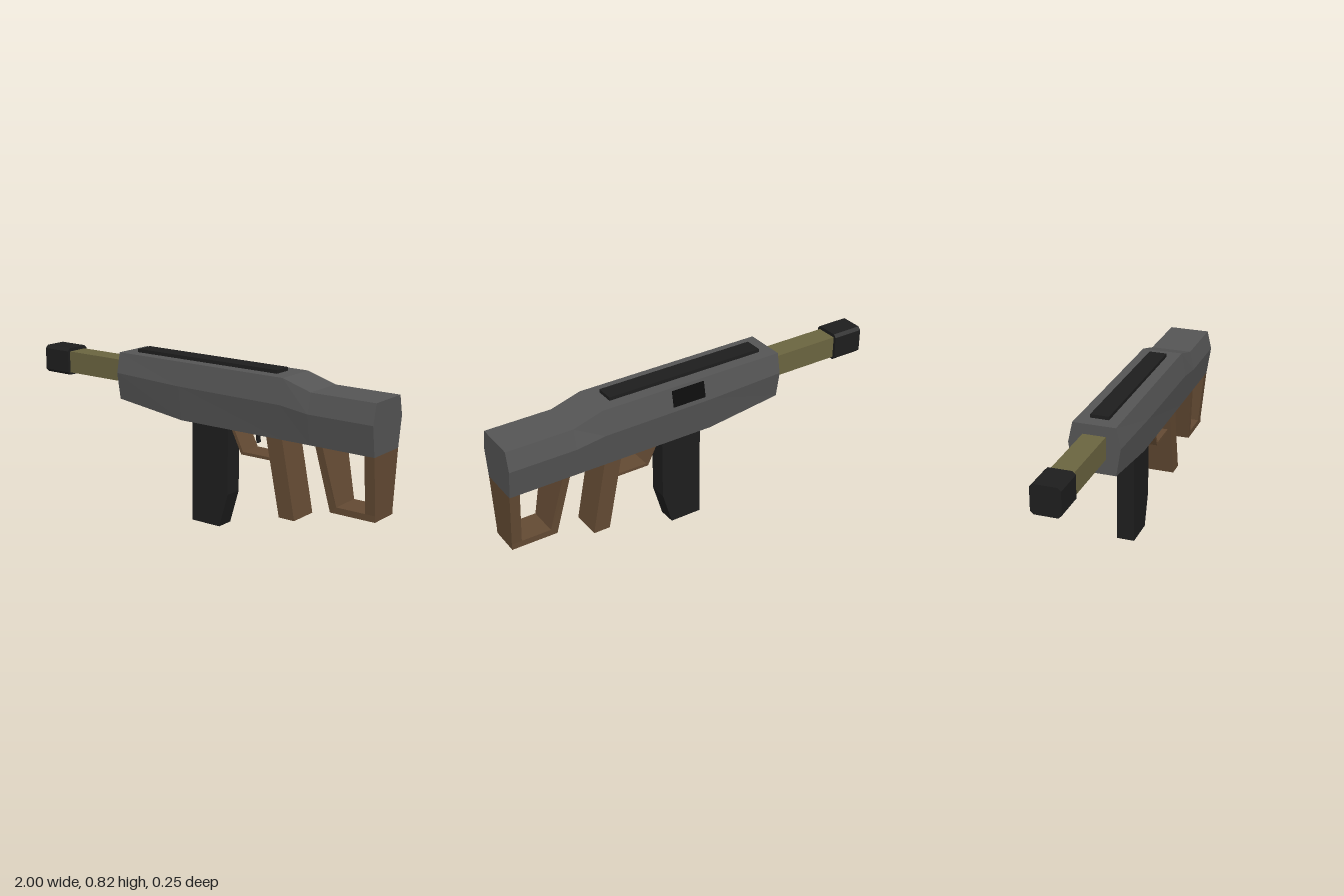
import * as THREE from 'three';

const mat = (color) => new THREE.MeshStandardMaterial({ color, flatShading: true });

export function createModel() {
  const model = new THREE.Group();
  const grey = mat(0x555555), black = mat(0x1e1e1e), brown = mat(0x634a33), olive = mat(0x6b6540);
  const port = mat(0x0a0a0a);

  const add = (name, geometry, material) => {
    const mesh = new THREE.Mesh(geometry, material);
    mesh.name = name;
    model.add(mesh);
    return mesh;
  };

  // Side outline in x/y, extruded symmetrically about z = 0
  const prism = (points, half) => {
    const shape = new THREE.Shape(points.map(([x, y]) => new THREE.Vector2(x, y)));
    return new THREE.ExtrudeGeometry(shape, { depth: half * 2, bevelEnabled: false }).translate(0, 0, -half);
  };

  const box = (x0, x1, y0, y1, half) =>
    new THREE.BoxGeometry(x1 - x0, y1 - y0, half * 2).translate((x0 + x1) / 2, (y0 + y1) / 2, 0);

  // Body: six-sided sections lofted along x
  const stations = [ // x, top, middle, bottom
    [-0.45, 0.8, 0.7, 0.565],
    [-0.06, 0.8, 0.685, 0.515],
    [0.52, 0.8, 0.68, 0.515],
    [0.67, 0.755, 0.66, 0.515],
    [1, 0.755, 0.66, 0.515],
  ];
  const pos = [], idx = [];
  for (const [x, t, m, b] of stations) {
    pos.push(x, t, 0.103, x, m, 0.125, x, b, 0.103, x, b, -0.103, x, m, -0.125, x, t, -0.103);
  }
  for (let s = 0; s < stations.length - 1; s++) {
    for (let i = 0; i < 6; i++) {
      const a = s * 6 + i, c = s * 6 + (i + 1) % 6;
      idx.push(a, c, c + 6, a, c + 6, a + 6);
    }
  }
  const last = (stations.length - 1) * 6;
  for (let i = 1; i < 5; i++) {
    idx.push(0, i + 1, i, last, last + i, last + i + 1);
  }
  const indexed = new THREE.BufferGeometry();
  indexed.setAttribute('position', new THREE.Float32BufferAttribute(pos, 3));
  indexed.setIndex(idx);
  const bodyGeometry = indexed.toNonIndexed();
  bodyGeometry.computeVertexNormals();
  add('body', bodyGeometry, grey);

  // Rail on top and side port lying on the upper back slope
  add('topRail', box(-0.38, 0.45, 0.79, 0.817, 0.045), black);
  const sidePort = add('sidePort', new THREE.BoxGeometry(0.175, 0.08, 0.01), port);
  sidePort.position.set(0.07, 0.745, -0.112);
  sidePort.rotation.x = 0.19;

  // Barrel and chamfered muzzle
  add('barrel', box(-0.86, -0.44, 0.64, 0.75, 0.055), olive);
  const h = 0.07, k = 0.055;
  const octagon = [[k, -h], [h, -k], [h, k], [k, h], [-k, h], [-h, k], [-h, -k], [-k, -h]];
  add('muzzle', prism(octagon, 0.08).rotateY(Math.PI / 2).translate(-0.92, 0.697, 0), black);

  // Magazine
  add('magazine', prism([[-0.04, 0], [0.125, 0], [0.175, 0.17], [0.175, 0.53], [-0.04, 0.53]], 0.045), black);

  // Grip, trigger guard and trigger
  add('grip', prism([[0.495, 0.133], [0.58, 0.133], [0.503, 0.52], [0.415, 0.52]], 0.077), brown);
  add('triggerGuard', prism([
    [0.2, 0.52], [0.265, 0.392], [0.45, 0.392], [0.45, 0.406], [0.275, 0.406], [0.217, 0.52],
  ], 0.06), brown);
  add('trigger', prism([
    [0.31, 0.52], [0.314, 0.475], [0.318, 0.447], [0.326, 0.447], [0.324, 0.48], [0.322, 0.52],
  ], 0.012), black);

  // Open stock frame, widening towards the body
  const stock = prism([
    [0.7, 0.518], [0.763, 0.245], [0.77, 0.215], [1, 0.215], [1, 0.245], [1, 0.515],
    [0.95, 0.515], [0.95, 0.245], [0.802, 0.245], [0.738, 0.518],
  ], 1);
  const p = stock.attributes.position;
  for (let i = 0; i < p.count; i++) {
    const t = Math.max(0, Math.min(1, (p.getY(i) - 0.245) / 0.27));
    p.setZ(i, p.getZ(i) * (0.077 + 0.026 * t));
  }
  stock.computeVertexNormals();
  add('stock', stock, brown);

  return model;
}
